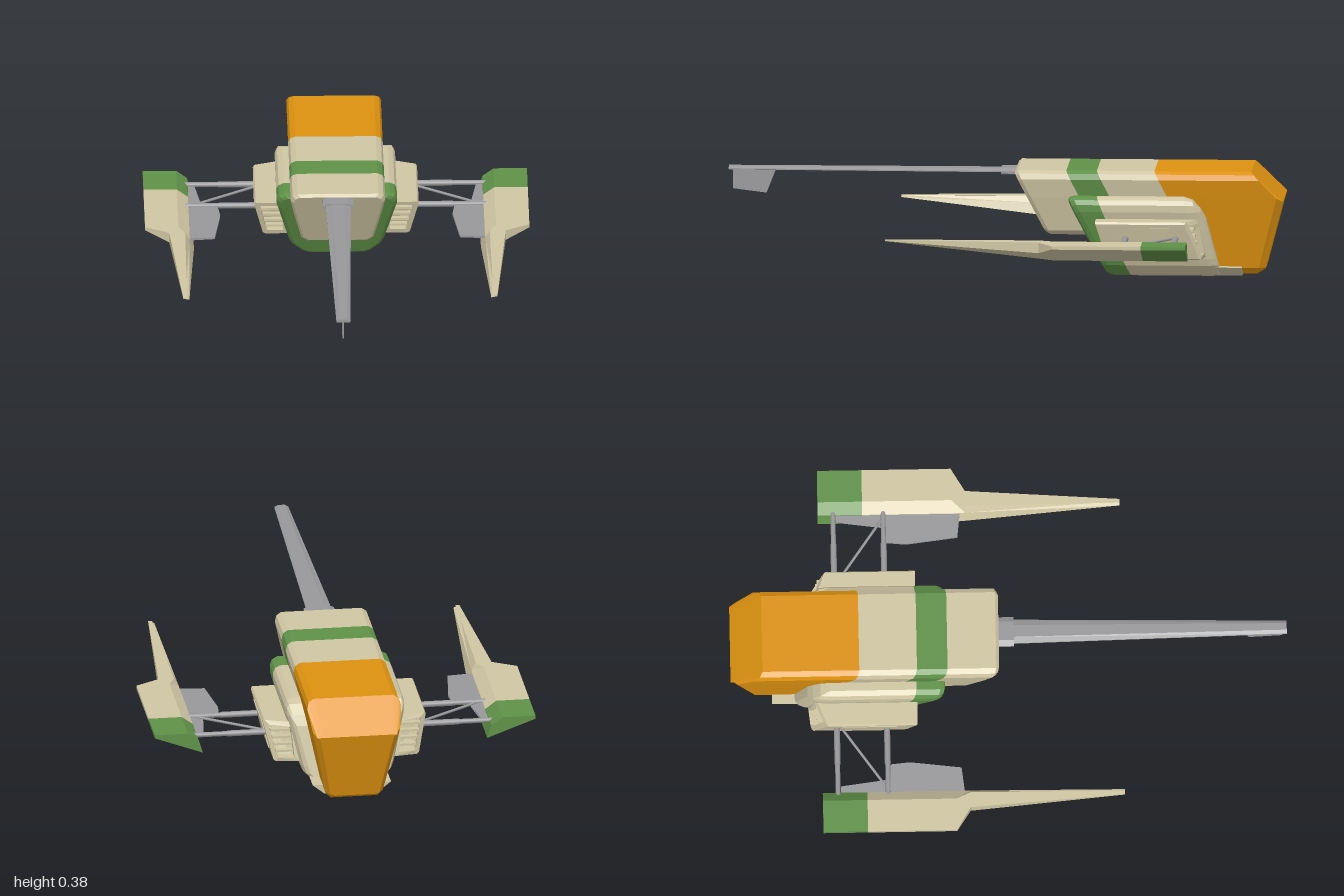
import * as THREE from 'three';

const material = (color) => new THREE.MeshStandardMaterial({ color });
const TAN = material(0xcfc5a3), GREEN = material(0x5f9148), ORANGE = material(0xdc910f), STEEL = material(0x98989a);

// Skin a list of equal-length rings of [x, y, z] points and cap both ends.
function loft(name, mat, rings) {
  const pos = [];
  const tri = (a, b, c) => pos.push(...a, ...b, ...c);
  const n = rings[0].length;
  for (let i = 0; i + 1 < rings.length; i++) {
    for (let j = 0; j < n; j++) {
      const k = (j + 1) % n, a = rings[i], b = rings[i + 1];
      tri(a[j], a[k], b[k]);
      tri(a[j], b[k], b[j]);
    }
  }
  const cap = (ring, flip) => {
    const mid = [0, 1, 2].map((c) => ring.reduce((s, p) => s + p[c], 0) / n);
    ring.forEach((p, j) => {
      const q = ring[(j + 1) % n];
      flip ? tri(mid, q, p) : tri(mid, p, q);
    });
  };
  cap(rings[0], true);
  cap(rings[rings.length - 1], false);

  // Turn the skin outward if its signed volume is negative.
  let volume = 0;
  const a = new THREE.Vector3(), b = new THREE.Vector3(), c = new THREE.Vector3();
  for (let i = 0; i < pos.length; i += 9) {
    a.fromArray(pos, i); b.fromArray(pos, i + 3); c.fromArray(pos, i + 6);
    volume += a.dot(b.cross(c));
  }
  if (volume < 0) {
    for (let i = 0; i < pos.length; i += 9) {
      for (let k = 3; k < 6; k++) [pos[i + k], pos[i + k + 3]] = [pos[i + k + 3], pos[i + k]];
    }
  }
  const geo = new THREE.BufferGeometry();
  geo.setAttribute('position', new THREE.Float32BufferAttribute(pos, 3));
  geo.computeVertexNormals();
  const mesh = new THREE.Mesh(geo, mat);
  mesh.name = name;
  return mesh;
}

// Mirror a half section and place each point in z by a rule of its height.
const section = (half, zRule) =>
  [...half, ...half.map(([x, y]) => [-x, y]).reverse()].map(([x, y]) => [x, y, zRule(y)]);
const inset = (half, sx, sy, cy) => half.map(([x, y]) => [x * sx, cy + (y - cy) * sy]);
const slant = (z0, k, top) => (y) => z0 - k * (top - y);

function rod(name, from, to, radius) {
  const a = new THREE.Vector3(...from), b = new THREE.Vector3(...to), d = b.clone().sub(a);
  const mesh = new THREE.Mesh(new THREE.CylinderGeometry(radius, radius, d.length(), 12), STEEL);
  mesh.position.copy(a).add(b).multiplyScalar(0.5);
  mesh.quaternion.setFromUnitVectors(new THREE.Vector3(0, 1, 0), d.normalize());
  mesh.name = name;
  return mesh;
}

function createBody() {
  const g = new THREE.Group();
  g.name = 'body';

  // Upper cabin with slanted nose and colour bands
  const cabin = [[0.108, 0.148], [0.13, 0.165], [0.158, 0.29], [0.17, 0.355], [0.163, 0.375], [0.145, 0.385]];
  const cut = (z0) => section(cabin, slant(z0, 0.5, 0.385));
  const nose = section(inset(cabin, 0.94, 0.92, 0.27), slant(-0.03, 0.5, 0.385));
  g.add(loft('nose', TAN, [nose, cut(-0.045), cut(-0.22)]));
  g.add(loft('cabinStripe', GREEN, [cut(-0.22), cut(-0.33)]));
  g.add(loft('cabin', TAN, [cut(-0.33), cut(-0.537)]));

  // Rear canopy
  const canopy = [[0.085, 0.008], [0.104, 0.03], [0.158, 0.29], [0.17, 0.355], [0.163, 0.375], [0.145, 0.385]];
  const rear = section(canopy, (y) => -0.975 + (y > 0.29 ? 0.95 * (y - 0.29) : 0.25 * (0.29 - y)));
  const back = section(canopy.map(([x, y]) => [x * 0.85, Math.min(Math.max(y, 0.025), 0.27 + y * 0.02)]),
    (y) => -1 + 0.26 * Math.max(0, 0.28 - y));
  g.add(loft('canopy', ORANGE, [section(canopy, slant(-0.537, 0.5, 0.385)), rear, back]));

  // Lower hull with coloured collar
  const hull = [[0.1, 0], [0.125, 0.01], [0.162, 0.045], [0.172, 0.07], [0.216, 0.245], [0.216, 0.27],
    [0.208, 0.287], [0.19, 0.296], [0.1, 0.296]];
  const hullCut = (z0, k = 0.5, sx = 1, sy = 1) => section(inset(hull, sx, sy, 0.12), slant(z0, k, 0.29));
  g.add(loft('collar', GREEN, [hullCut(-0.225, 0.5, 0.92, 0.92), hullCut(-0.232, 0.5, 0.97, 0.97),
    hullCut(-0.25), hullCut(-0.335, 0.4)]));
  const hullBack = (z, sx, drop) => section(hull.map(([x, y]) => [x * sx, Math.min(y, 0.296 - drop)]), slant(z, 0.25, 0.29));
  g.add(loft('lowerHull', TAN, [hullCut(-0.335, 0.4), hullBack(-0.645, 1, 0), hullBack(-0.675, 0.98, 0.012),
    hullBack(-0.695, 0.93, 0.045), hullBack(-0.705, 0.84, 0.08)]));

  // Keel strip
  const keel = [[0.1, 0.002], [0.142, 0.036]];
  g.add(loft('keel', TAN, [-0.5, -0.85].map((z) => section(keel, () => z))));
  return g;
}

function createBoom() {
  const g = new THREE.Group();
  g.name = 'noseBoom';
  const blade = (w, z) => section([[w * 0.7, 0.36], [w, 0.362], [w, 0.366], [w * 0.5, 0.373]], () => z);
  g.add(loft('boom', STEEL, [blade(0.047, -0.06), blade(0.025, 1)]));
  g.add(loft('boomMount', STEEL, [-0.06, 0.02].map((z) =>
    section([[0.035, 0.352], [0.055, 0.358], [0.055, 0.367], [0.035, 0.376]], () => z))));
  const outline = [[0.985, 0.364], [0.985, 0.29], [0.865, 0.275], [0.83, 0.364]];
  g.add(loft('boomFin', STEEL, [-0.003, 0.003].map((x) => outline.map(([z, y]) => [x, y, z]))));
  return g;
}

function createSide(s) {
  const g = new THREE.Group();
  g.name = s > 0 ? 'leftOutrigger' : 'rightOutrigger';

  // Engine box with a recess at each end
  const outer = [[0.165, 0.08], [0.256, 0.08], [0.264, 0.085], [0.295, 0.212], [0.29, 0.22], [0.185, 0.22]];
  const inner = [[0.19, 0.095], [0.247, 0.095], [0.252, 0.1], [0.277, 0.202], [0.274, 0.206], [0.2, 0.206]];
  const front = (pts, z) => pts.map(([x, y]) => [s * x, y, z - 0.3 * (0.22 - y)]);
  const rear = (pts, z) => pts.map(([x, y]) => [s * x, y, z - 0.2 * (0.22 - y) + Math.max(0, x - 0.24) * 0.8]);
  g.add(loft('engineBox', TAN, [front(inner, -0.365), front(inner, -0.33), front(outer, -0.33),
    rear(outer, -0.695), rear(inner, -0.695), rear(inner, -0.66)]));

  // Raised plate on the outer face
  const plate = [[0.1, -0.44], [0.2, -0.405], [0.2, -0.6], [0.1, -0.625]];
  const face = (y, d) => 0.263 + (y - 0.08) * 0.24 + d;
  g.add(loft('enginePlate', TAN, [-0.01, 0.004].map((d) => plate.map(([y, z]) => [s * face(y, d), y, z]))));

  // Louvres
  for (const [z0, k] of [[-0.345, 0.3], [-0.667, 0.2]]) {
    for (let i = 0; i < 4; i++) {
      const y = 0.113 + i * 0.025, w = 0.066 + i * 0.003;
      const slat = new THREE.Mesh(new THREE.BoxGeometry(w, 0.008, 0.02), TAN);
      slat.position.set(s * (0.188 + i * 0.003 + w / 2), y, z0 - k * (0.22 - y));
      slat.name = 'louvre';
      g.add(slat);
    }
  }

  // Struts
  for (const z of [-0.62, -0.44]) {
    g.add(rod('strut', [s * 0.24, 0.16, z], [s * 0.55, 0.16, z], 0.009));
    g.add(rod('strutSleeve', [s * 0.24, 0.16, z], [s * 0.42, 0.16, z], 0.011));
  }
  g.add(rod('brace', [s * 0.28, 0.16, -0.605], [s * 0.505, 0.16, -0.45], 0.005));

  // Flat inner flap
  const flap = [[0.53, -0.61], [0.505, -0.61], [0.488, -0.44], [0.425, -0.44], [0.417, -0.36], [0.44, -0.175], [0.53, -0.165]];
  g.add(loft('flap', STEEL, [0.15, 0.158].map((y) => flap.map(([x, z]) => [s * x, y, z]))));

  // Wing blade: wedge section drawn out into a long spike
  const wing = (z, xo, xi, yo, yi) => {
    const kink = xi + Math.min(0.055, (xo - xi) * 0.35);
    return [[xo, 0.19], [kink, 0.19], [xi + 0.015, yi + (0.19 - yi) * 0.62], [xi, yi], [xo, yo]].map(([x, y]) => [s * x, y, z]);
  };
  const joint = wing(-0.515, 0.69, 0.515, 0.178, 0.113);
  g.add(loft('wingTail', GREEN, [wing(-0.675, 0.69, 0.515, 0.178, 0.113), joint]));
  g.add(loft('wing', TAN, [joint, wing(-0.195, 0.69, 0.515, 0.178, 0.113),
    wing(-0.145, 0.604, 0.516, 0.152, 0.119), wing(0.41, 0.564, 0.542, 0.186, 0.182)]));
  return g;
}

export function createModel() {
  const model = new THREE.Group();
  model.name = 'hoverBike';
  model.add(createBody(), createBoom(), createSide(1), createSide(-1));
  return model;
}
